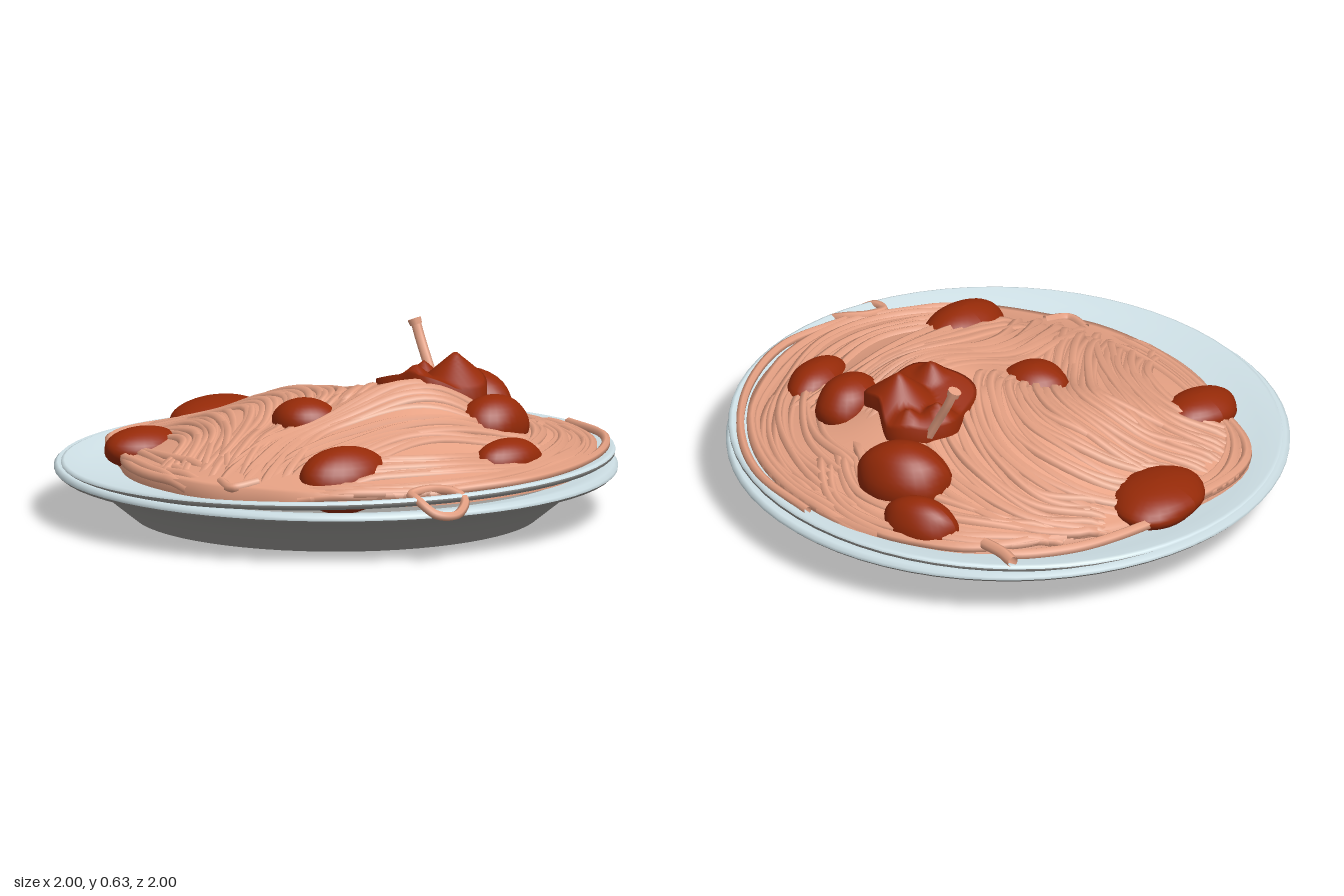
import * as THREE from 'three';
import { mergeGeometries } from 'three/addons/utils/BufferGeometryUtils.js';

const mat = (name, color, side = THREE.FrontSide) => {
  const m = new THREE.MeshStandardMaterial({ color, side });
  m.name = name;
  return m;
};

// Radius of the pasta heap every 30 degrees, from +x towards +z
const RADII = [0.92, 0.92, 0.86, 0.79, 0.76, 0.76, 0.88, 0.81, 0.8, 0.88, 0.91, 0.92];
function heapRadius(a) {
  const f = (((a / (Math.PI * 2)) % 1) + 1) % 1 * 12;
  const i = Math.floor(f), u = f - i, s = u * u * (3 - 2 * u);
  return RADII[i % 12] * (1 - s) + RADII[(i + 1) % 12] * s;
}
const bump = (x, z, cx, cz, r) => Math.exp(-((x - cx) ** 2 + (z - cz) ** 2) / (r * r));

// Height of the pasta heap
function heapHeight(x, z) {
  const t = Math.min(1, Math.hypot(x, z) / heapRadius(Math.atan2(z, x)));
  return 0.225 + 0.02 * x + 0.18 * (1 - t * t) ** 1.4
    + 0.09 * bump(x, z, 0.29, -0.1, 0.24) + 0.03 * bump(x, z, -0.3, -0.25, 0.2)
    - 0.055 * bump(x, z, -0.08, 0.18, 0.17) - 0.02 * bump(x, z, -0.52, -0.05, 0.12)
    - 0.025 * bump(x, z, 0.68, 0.08, 0.16) - 0.02 * bump(x, z, 0.53, -0.18, 0.13);
}

// Round patch of surface following a height rule, with a turned-down edge
function polarPatch(cx, cz, radius, height, rings, segs) {
  const pos = [cx, height(cx, cz), cz], idx = [];
  for (let r = 1; r <= rings + 1; r++) {
    for (let s = 0; s < segs; s++) {
      const a = (s / segs) * Math.PI * 2;
      const d = radius(a) * Math.min(1, r / rings);
      const x = cx + Math.cos(a) * d, z = cz + Math.sin(a) * d;
      pos.push(x, height(x, z) - (r > rings ? 0.05 : 0), z);
    }
  }
  for (let s = 0; s < segs; s++) {
    const n = (s + 1) % segs;
    idx.push(0, 1 + n, 1 + s);
    for (let r = 0; r < rings; r++) {
      const a = 1 + r * segs, b = a + segs;
      idx.push(a + s, a + n, b + s, a + n, b + n, b + s);
    }
  }
  const g = new THREE.BufferGeometry();
  g.setAttribute('position', new THREE.Float32BufferAttribute(pos, 3));
  g.setIndex(idx);
  g.computeVertexNormals();
  return g;
}

const tube = (pts, r, closed = false, segs = 32) =>
  new THREE.TubeGeometry(new THREE.CatmullRomCurve3(pts, closed), segs, r, 6, closed);

// Side-by-side strands half sunk into the heap along one path
function bundle(path, count, spacing, seed) {
  const curve = new THREE.CatmullRomCurve3(path.map(([x, z]) => new THREE.Vector3(x, 0, z)));
  const strands = [];
  for (let i = 0; i < count; i++) {
    const k = (i - (count - 1) / 2) * spacing, pts = [];
    const phase = i * 2.4 + seed * 1.7;
    for (let j = 0; j <= 16; j++) {
      const u = 0.02 * (1 + Math.sin(phase)) + (j / 16) * (0.94 + 0.02 * Math.cos(phase));
      const p = curve.getPointAt(u), d = curve.getTangentAt(u);
      const off = k * (0.85 + 0.25 * Math.sin(u * 5 + seed)) + 0.008 * Math.sin(u * 9 + phase);
      let x = p.x - d.z * off, z = p.z + d.x * off;
      const over = Math.hypot(x, z) / (heapRadius(Math.atan2(z, x)) * 0.985);
      if (over > 1) { x /= over; z /= over; }
      const y = heapHeight(x, z) - 0.009 + 0.005 * Math.sin(phase + u * 6)
        - (j === 0 || j === 16 ? 0.02 : 0);
      pts.push(new THREE.Vector3(x, y, z));
    }
    strands.push(tube(pts, 0.02, false, 36));
  }
  return mergeGeometries(strands);
}

export function createModel() {
  const model = new THREE.Group();
  const blue = mat('paleBlueGlaze', 0xd2e4ea, THREE.DoubleSide);
  const grey = mat('greyUnderside', 0x9d9c99, THREE.DoubleSide);
  const pasta = mat('pasta', 0xeaa486, THREE.DoubleSide);
  const sauce = mat('tomatoSauce', 0x962a08, THREE.DoubleSide);
  const add = (name, geometry, material) => {
    const m = new THREE.Mesh(geometry, material);
    m.name = name;
    model.add(m);
    return m;
  };
  const lathe = (pts) => new THREE.LatheGeometry(pts.map(([x, y]) => new THREE.Vector2(x, y)), 64);

  // Plate: flat foot, flared wall, glazed lip
  add('plateFoot', lathe([[0, 0], [0.72, 0]]), grey);
  add('plateUnderside', lathe([[0.72, 0], [0.77, 0.04], [0.83, 0.088], [0.9, 0.128], [0.985, 0.152], [0.997, 0.163]]), grey);
  add('plateLip', lathe([[0.997, 0.163], [0.998, 0.175], [0.985, 0.187], [0.93, 0.178], [0.85, 0.165]]), blue);

  // Tilted upper dish that carries the pasta, grey below its rim
  const dish = new THREE.Group();
  dish.name = 'dish';
  dish.rotation.z = 0.028;
  dish.position.x = 0.014;
  model.add(dish);
  dish.add(add('dishUnderside', lathe([[0.88, 0.175], [0.965, 0.187], [0.98, 0.196], [0.982, 0.206]]), grey));
  dish.add(add('dishTop', lathe([[0.982, 0.206], [0.979, 0.214], [0.968, 0.218],
    [0.9, 0.202], [0.78, 0.178], [0.65, 0.165], [0, 0.16]]), blue));

  // Pasta heap and its swirling bundles of strands
  add('pastaHeap', polarPatch(0, 0, heapRadius, heapHeight, 28, 84), pasta);
  const bundles = [
    [[[0.3, -0.84], [0.62, -0.66], [0.85, -0.3], [0.88, 0.05], [0.8, 0.4], [0.55, 0.66], [0.2, 0.76]], 6],
    [[[0.4, -0.65], [0.66, -0.4], [0.75, 0], [0.62, 0.35], [0.3, 0.6]], 7],
    [[[0.5, -0.3], [0.35, -0.1], [0.2, 0.1], [0.05, 0.35], [0, 0.76]], 9],
    [[[0.68, -0.25], [0.52, 0.05], [0.35, 0.3], [0.15, 0.7]], 8],
    [[[-0.55, -0.55], [-0.25, -0.62], [0, -0.5], [0.15, -0.3], [0.2, -0.1]], 9],
    [[[-0.4, -0.7], [0, -0.78], [0.35, -0.68], [0.5, -0.4]], 7],
    [[[-0.75, -0.25], [-0.45, -0.38], [-0.15, -0.3], [0, -0.05], [-0.02, 0.1]], 9],
    [[[-0.82, -0.1], [-0.5, -0.12], [-0.25, -0.02], [-0.15, 0.3], [-0.1, 0.72]], 9],
    [[[-0.82, 0.1], [-0.55, 0.1], [-0.35, 0.3], [-0.25, 0.66]], 10],
    [[[-0.6, -0.5], [-0.83, -0.15], [-0.8, 0.15], [-0.62, 0.38], [-0.4, 0.58], [-0.15, 0.72]], 5],
  ];
  bundles.forEach(([path, n], i) => add('strandBundle' + (i + 1), bundle(path, n, 0.033, i), pasta));

  // Loose strands: [x, y, z] paths
  const V = (list) => list.map((p) => new THREE.Vector3(...p));
  add('hangingLoop', tube(V([[0.63, 0.235, 0.65], [0.67, 0.245, 0.585], [0.75, 0.24, 0.56], [0.805, 0.215, 0.575],
    [0.805, 0.175, 0.635], [0.755, 0.18, 0.695], [0.68, 0.225, 0.695]]), 0.017, true, 48), pasta);
  add('rightEdgeStrand', tube(V([[0.52, 0.235, -0.79], [0.75, 0.245, -0.6], [0.89, 0.25, -0.33], [0.945, 0.252, 0],
    [0.9, 0.25, 0.3], [0.74, 0.24, 0.54]]), 0.016), pasta);
  add('backEdgeStrand', tube(V([[-0.75, 0.225, -0.4], [-0.64, 0.22, -0.57], [-0.47, 0.215, -0.75],
    [-0.3, 0.22, -0.86], [-0.22, 0.225, -0.89]]), 0.02), pasta);
  add('backStrandEnd', tube(V([[-0.27, 0.225, -0.935], [-0.22, 0.23, -0.89], [-0.14, 0.23, -0.84]]), 0.022), pasta);
  add('frontStrandEnd', tube(V([[-0.09, 0.23, 0.72], [-0.01, 0.225, 0.785], [0.06, 0.24, 0.72]]), 0.018), pasta);

  // Upright strand poking out of the sauce
  add('uprightStrand', tube(V([[0.17, 0.4, -0.44], [0.13, 0.48, -0.455], [0.09, 0.56, -0.475], [0.07, 0.61, -0.483]]), 0.018), pasta);
  const tip = add('uprightStrandTip', new THREE.CylinderGeometry(0.025, 0.022, 0.022, 10), pasta);
  tip.position.set(0.068, 0.61, -0.483);
  tip.rotation.z = 0.35;

  // Meatballs: x, z, top height, half width, half depth, half height, turn
  const balls = [
    [-0.645, -0.36, 0.3, 0.155, 0.2, 0.075, -0.25],
    [-0.63, 0.265, 0.3, 0.11, 0.155, 0.075, -0.45],
    [-0.07, 0.105, 0.425, 0.12, 0.11, 0.085, 0],
    [0.31, 0.545, 0.36, 0.125, 0.185, 0.12, -0.5],
    [0.71, 0.055, 0.34, 0.09, 0.145, 0.08, -0.35],
    [0.53, -0.18, 0.44, 0.11, 0.14, 0.11, -0.4],
    [0.22, -0.59, 0.44, 0.17, 0.13, 0.14, 0],
    [0.11, -0.78, 0.34, 0.145, 0.09, 0.11, -0.25],
  ];
  balls.forEach(([x, z, top, w, d, h, turn], i) => {
    const g = new THREE.SphereGeometry(1, 28, 18);
    const p = g.attributes.position;
    for (let v = 0; v < p.count; v++) {
      const a = p.getX(v), b = p.getY(v), c = p.getZ(v);
      const s = 1 + 0.035 * Math.sin(3 * a + i) * Math.cos(3 * c + i * 2) + 0.02 * Math.sin(5 * c + 4 * b);
      p.setXYZ(v, a * s, b, c * s);
    }
    g.scale(w, h, d);
    g.computeVertexNormals();
    const m = add('meatball' + (i + 1), g, sauce);
    m.position.set(x, top - h, z);
    m.rotation.y = turn;
  });

  // Peaked dollop of sauce: x, z, peak height
  const peaks = [[0.24, -0.15, 0.535], [0.32, -0.3, 0.56], [0.16, -0.37, 0.5], [0.38, -0.38, 0.49], [0.25, -0.42, 0.49]];
  const sauceHeight = (x, z) => peaks.reduce(
    (y, [px, pz, top]) => Math.max(y, top - 0.85 * Math.hypot(x - px, z - pz)), heapHeight(x, z) + 0.025);
  const sauceRadius = (a) => 0.185 + 0.014 * Math.sin(3 * a + 0.6) + 0.012 * Math.cos(5 * a);
  add('sauceDollop', polarPatch(0.245, -0.285, sauceRadius, sauceHeight, 16, 48), sauce);

  return model;
}
